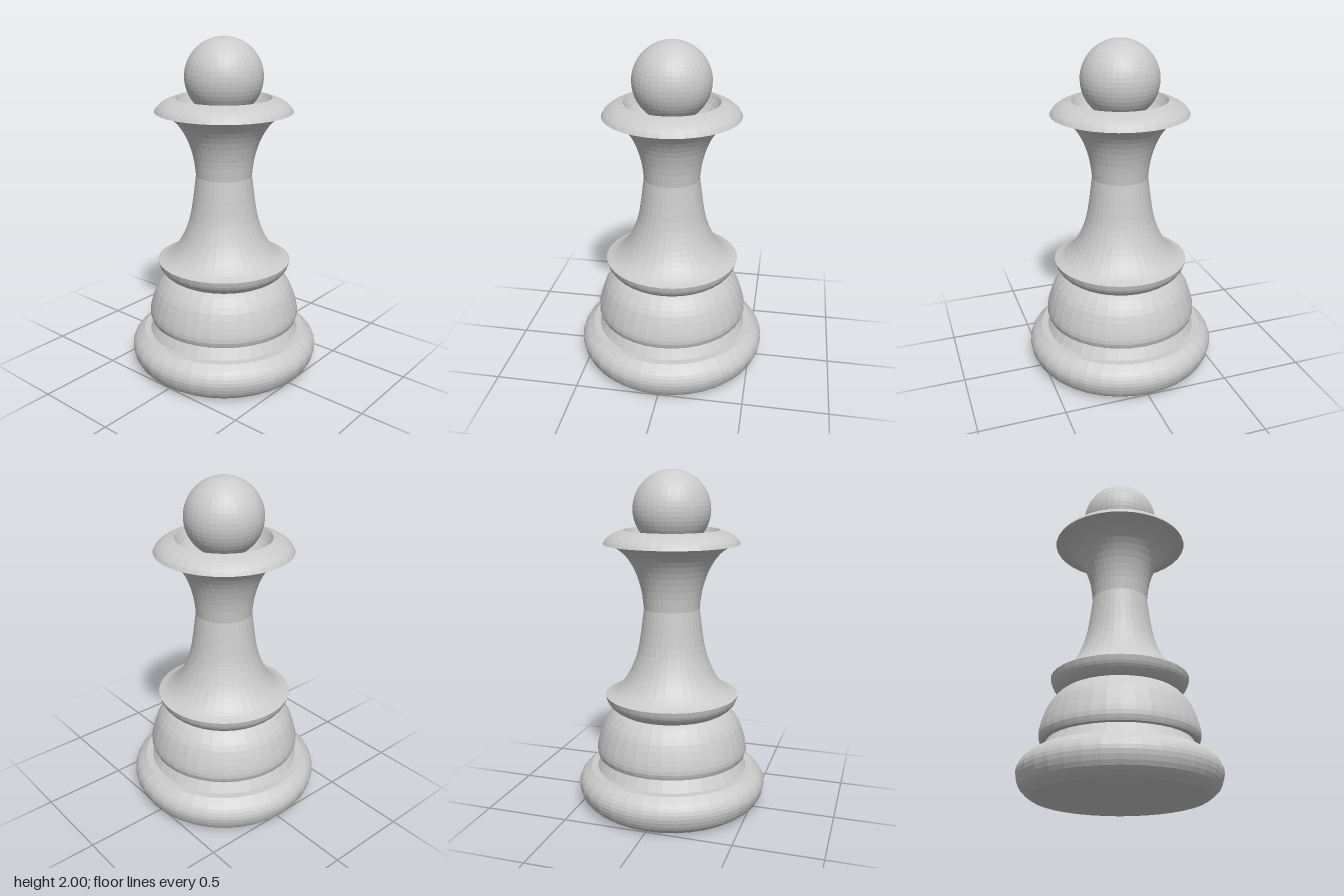
import * as THREE from 'three';

const SIDES = 36;
const material = new THREE.MeshStandardMaterial({ color: 0xcccccc, flatShading: true });

// Smooth run of profile points through the given [radius, y] pairs
const curve = (pairs, steps) =>
  new THREE.SplineCurve(pairs.map(([r, y]) => new THREE.Vector2(r, y))).getPoints(steps);
const corner = (r, y) => new THREE.Vector2(r, y);

function turned(name, points) {
  const mesh = new THREE.Mesh(new THREE.LatheGeometry(points, SIDES), material);
  mesh.name = name;
  return mesh;
}

export function createModel() {
  const pawn = new THREE.Group();
  pawn.name = 'pawn';

  // Rounded foot with a flat underside and ledge
  pawn.add(turned('foot', [
    corner(0, 0),
    ...curve([[0.49, 0], [0.545, 0.045], [0.57, 0.12], [0.55, 0.18], [0.497, 0.225]], 12),
    corner(0.4, 0.225),
  ]));

  // Tapered skirt between foot and dome
  pawn.add(turned('skirt', [corner(0.456, 0.225), corner(0.413, 0.3)]));

  // Dome with a small overhang
  pawn.add(turned('dome', [
    corner(0.36, 0.3),
    ...curve([[0.445, 0.3], [0.456, 0.34], [0.443, 0.41], [0.41, 0.5], [0.365, 0.56], [0.335, 0.585]], 12),
    corner(0.28, 0.585),
  ]));

  // Saucer-shaped lower collar
  pawn.add(turned('lowerCollar', [
    corner(0.25, 0.58),
    ...curve([[0.32, 0.58], [0.36, 0.605], [0.388, 0.64], [0.4, 0.68]], 8),
  ]));

  // Stem, flaring at both ends from a narrow waist
  pawn.add(turned('stem', [
    ...curve([[0.4, 0.68], [0.345, 0.702], [0.285, 0.76], [0.235, 0.85], [0.195, 0.98], [0.165, 1.2]], 16),
    ...curve([[0.165, 1.2], [0.18, 1.31], [0.215, 1.42], [0.27, 1.51], [0.335, 1.563], [0.4, 1.58]], 14).slice(1),
  ]));

  // Upper collar, with the cup that holds the ball and its short neck
  pawn.add(turned('upperCollar', [
    ...curve([[0.4, 1.58], [0.382, 1.608], [0.34, 1.638], [0.277, 1.66]], 8),
    ...curve([[0.277, 1.66], [0.245, 1.605], [0.19, 1.56], [0.115, 1.54]], 6).slice(1),
    corner(0.115, 1.62),
  ]));

  // Ball head
  const head = new THREE.Mesh(new THREE.SphereGeometry(0.226, SIDES, 26), material);
  head.name = 'head';
  head.position.y = 1.774;
  pawn.add(head);

  return pawn;
}
